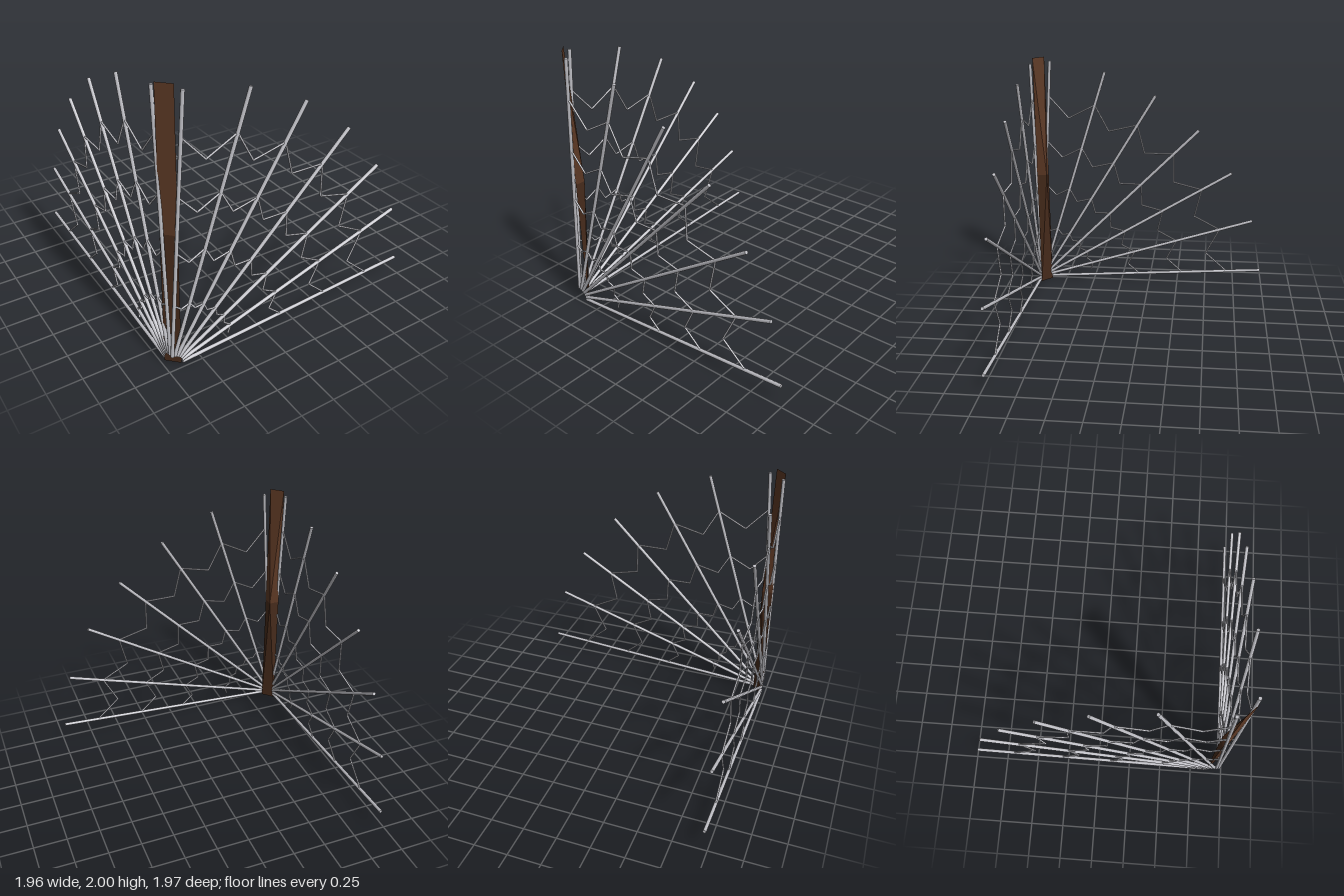
import * as THREE from 'three';

const silk = new THREE.MeshStandardMaterial({ color: 0xc0c0c6 });
silk.name = 'silk grey';
const wood = new THREE.MeshStandardMaterial({ color: 0x5c3824, side: THREE.DoubleSide });
wood.name = 'brown';
const darkWood = new THREE.MeshStandardMaterial({ color: 0x472b1b, side: THREE.DoubleSide });
darkWood.name = 'dark brown';

const SPOKES = 7;
const FIRST = 3.7, STEP = 13.77; // degrees
// radius at the spokes, radius at the sag between them
const RINGS = [[0.48, 0.443], [0.873, 0.786], [1.26, 1.136], [1.652, 1.487]];

const polar = (r, i) => {
  const a = THREE.MathUtils.degToRad(FIRST + STEP * i);
  return new THREE.Vector3(r * Math.cos(a), r * Math.sin(a), 0);
};

// round bar between two points
function bar(a, b, radius, sides, name) {
  const d = b.clone().sub(a);
  const mesh = new THREE.Mesh(new THREE.CylinderGeometry(radius, radius, d.length(), sides), silk);
  mesh.position.copy(a).add(b).multiplyScalar(0.5);
  mesh.quaternion.setFromUnitVectors(new THREE.Vector3(0, 1, 0), d.normalize());
  mesh.name = name;
  return mesh;
}

// quarter web in the xy plane, centred on its origin
function webFan(name) {
  const fan = new THREE.Group();
  fan.name = name;
  for (let i = 0; i < SPOKES; i++) {
    fan.add(bar(polar(0.08, i), polar(1.947, i), 0.013, 8, 'spoke'));
  }
  RINGS.forEach(([outer, sag], ring) => {
    for (let i = 0; i < SPOKES - 1; i++) {
      const mid = polar(sag, i + 0.5);
      // the innermost ring stops short of the lowest spoke
      if (ring > 0 || i > 0) fan.add(bar(polar(outer, i), mid, 0.007, 6, 'thread'));
      fan.add(bar(mid, polar(outer, i + 1), 0.007, 6, 'thread'));
    }
  });
  return fan;
}

// half of the corner post: flat at its end, ridged at mid height
function postHalf(endY, material, name) {
  const e1 = [-0.972, endY, 0.88], e2 = [-0.89, endY, 0.962];
  const m1 = [-0.972, 1, 0.88], m2 = [-0.89, 1, 0.962];
  const ridge = [-0.89, 1, 0.88];
  const faces = [[e1, e2, ridge], [e2, m2, ridge], [e1, ridge, m1], [e1, m1, m2], [e1, m2, e2]];
  if (endY < 1) faces.forEach((f) => f.reverse());
  const g = new THREE.BufferGeometry();
  g.setAttribute('position', new THREE.Float32BufferAttribute(faces.flat(2), 3));
  g.computeVertexNormals();
  const mesh = new THREE.Mesh(g, material);
  mesh.name = name;
  return mesh;
}

export function createModel() {
  const model = new THREE.Group();
  model.name = 'cornerWeb';
  model.add(postHalf(0, darkWood, 'lowerPost'), postHalf(2, wood, 'upperPost'));

  const front = webFan('frontWeb');
  front.position.set(-0.967, 0.016, 0.972);

  const side = webFan('sideWeb');
  side.rotation.y = Math.PI / 2;
  side.position.set(-0.967, 0.026, 0.96);

  model.add(front, side);
  return model;
}
